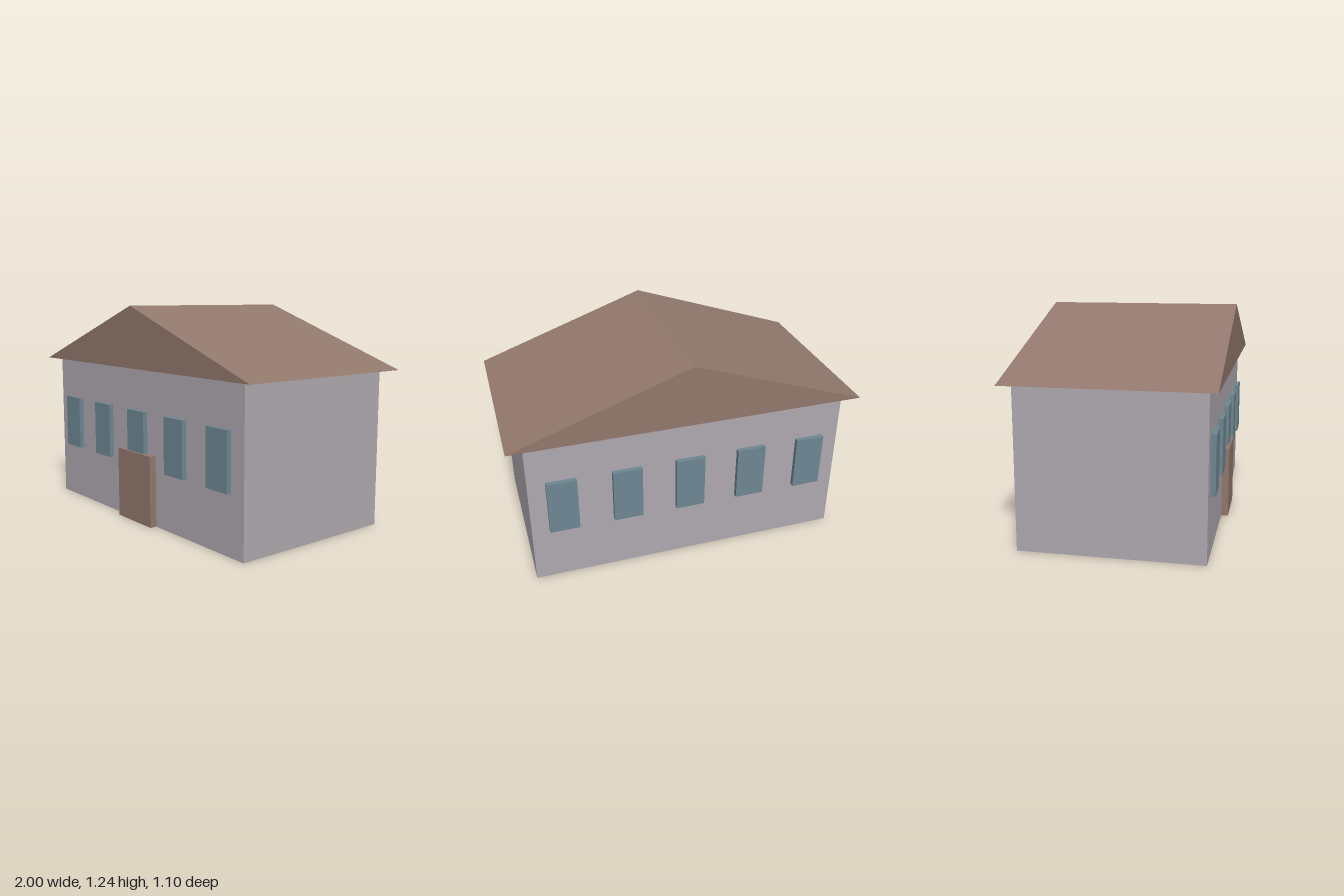
import * as THREE from 'three';

const material = (name, color) => {
  const m = new THREE.MeshStandardMaterial({ color });
  m.name = name;
  return m;
};

export function createModel() {
  const house = new THREE.Group();
  house.name = 'house';
  const wallGrey = material('wallGrey', 0xafa9af);
  const brown = material('woodBrown', 0x92786d);
  const glassBlue = material('glassBlue', 0x6e8792);

  const box = (name, mat, w, h, d, x, bottom, z) => {
    const mesh = new THREE.Mesh(new THREE.BoxGeometry(w, h, d), mat);
    mesh.name = name;
    mesh.position.set(x, bottom + h / 2, z);
    house.add(mesh);
  };

  // Main block
  const wallTop = 0.891, halfDepth = 0.5;
  box('walls', wallGrey, 1.818, wallTop, 2 * halfDepth, 0, 0, 0);

  // Solid gable roof with its ridge running front to back
  const gable = new THREE.Shape([
    new THREE.Vector2(-1, 0),
    new THREE.Vector2(1, 0),
    new THREE.Vector2(0, 0.35),
  ]);
  const roofGeometry = new THREE.ExtrudeGeometry(gable, { depth: 1.1, bevelEnabled: false });
  roofGeometry.translate(0, wallTop, -0.55);
  const roof = new THREE.Mesh(roofGeometry, brown);
  roof.name = 'roof';
  house.add(roof);

  // Door, standing slightly proud of the front wall
  box('door', brown, 0.327, 0.409, 0.08, 0, 0, halfDepth);

  // Five windows on the front and five on the back
  for (const side of [1, -1]) {
    for (let i = -2; i <= 2; i++) {
      box(side > 0 ? 'frontWindow' : 'backWindow', glassBlue,
        0.167, 0.32, 0.054, i * 0.3636, 0.33, side * halfDepth);
    }
  }
  return house;
}
